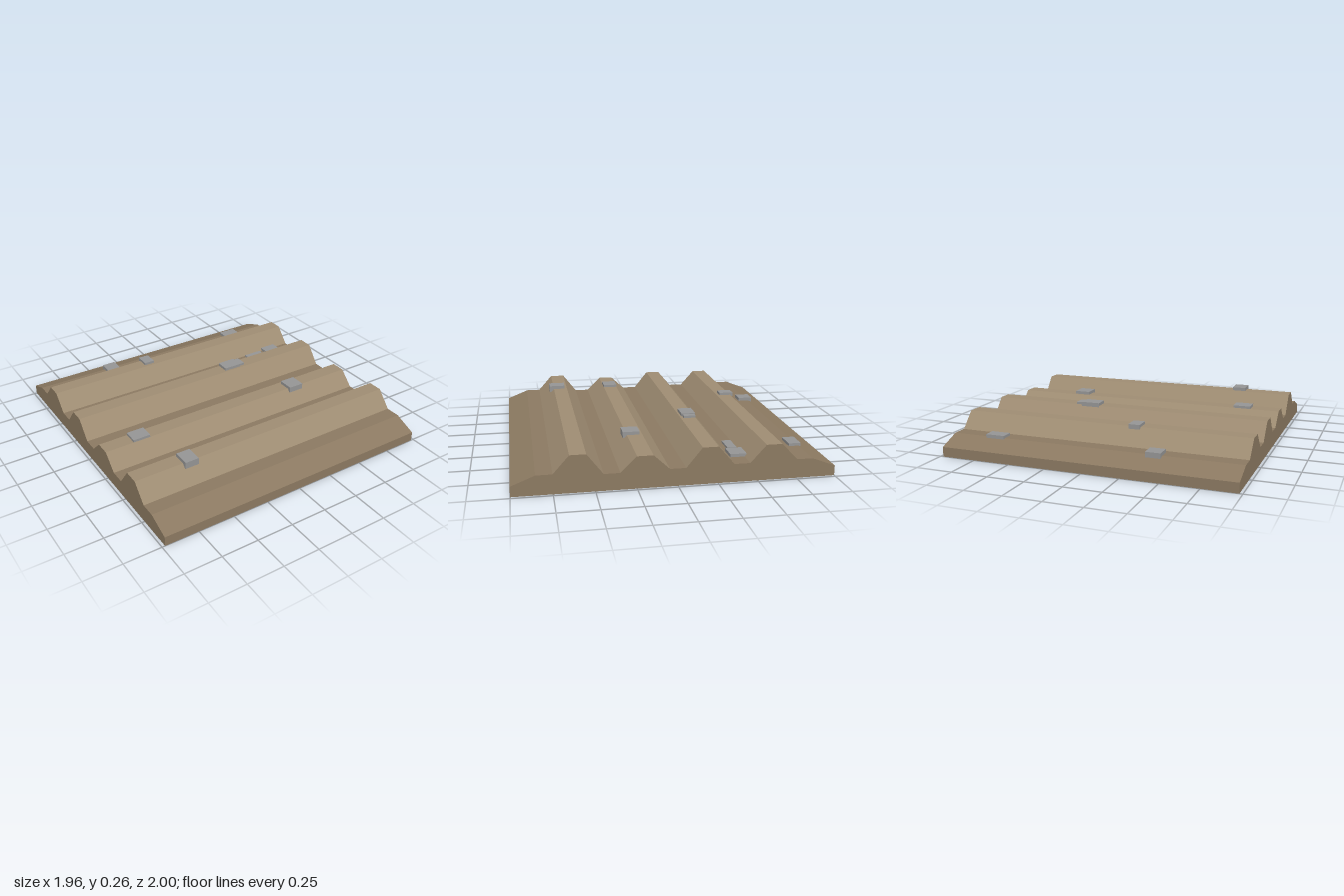
import * as THREE from 'three';

const HALF = 0.98; // half width in x
const EARTH = 0x8b7961, RIDGE = 0x9e8c72, STONE = 0x949494;

const paint = (color) =>
  new THREE.MeshStandardMaterial({ color, flatShading: true, side: THREE.DoubleSide });

// Sweeps an open [z, y] line (running from front to back) straight across x
function strip(name, line, color) {
  const pos = [];
  for (let i = 0; i < line.length - 1; i++) {
    const [z0, y0] = line[i], [z1, y1] = line[i + 1];
    const a = [-HALF, y0, z0], b = [HALF, y0, z0], c = [HALF, y1, z1], d = [-HALF, y1, z1];
    pos.push(...a, ...b, ...c, ...a, ...c, ...d);
  }
  const geo = new THREE.BufferGeometry();
  geo.setAttribute('position', new THREE.Float32BufferAttribute(pos, 3));
  geo.computeVertexNormals();
  const mesh = new THREE.Mesh(geo, paint(color));
  mesh.name = name;
  return mesh;
}

export function createModel() {
  const group = new THREE.Group();

  // Flats alternate furrow, ridge, furrow... each 0.1 wide, front to back
  const heights = [0.125, 0.237, 0.107, 0.205, 0.112, 0.235, 0.117, 0.228, 0.122];
  const flats = heights.map((y, i) => [[0.85 - i * 0.2, y], [0.75 - i * 0.2, y]]);
  const front = [[1, 0], [1, 0.065]], back = [[-1, 0.065], [-1, 0]];
  const last = flats.length - 1;

  flats.forEach((flat, i) => {
    if (i % 2) {
      // Ridge: top and both slopes
      group.add(strip('ridge', [flats[i - 1][1], ...flat, flats[i + 1][0]], RIDGE));
    } else {
      // Furrow floor; the outer ones continue down the field edge
      const line = [...(i === 0 ? front : []), ...flat, ...(i === last ? back : [])];
      group.add(strip('furrow', line, EARTH));
    }
  });
  group.add(strip('underside', [[-1, 0], [1, 0]], EARTH));

  // Cut earth at both ends
  const outline = [...front, ...flats.flat(), ...back];
  for (const s of [1, -1]) {
    const shape = new THREE.Shape(outline.map(([z, y]) => new THREE.Vector2(-s * z, y)));
    const end = new THREE.Mesh(new THREE.ShapeGeometry(shape), paint(EARTH));
    end.rotation.y = s * Math.PI / 2;
    end.position.x = s * HALF;
    end.name = s > 0 ? 'leftEnd' : 'rightEnd';
    group.add(end);
  }

  // Flat stones: x, z, width, depth, top height, thickness
  const stones = [
    [-0.42, -0.83, 0.10, 0.10, 0.145, 0.04],
    [0.67, -0.825, 0.13, 0.08, 0.14, 0.035],
    [-0.22, -0.62, 0.075, 0.10, 0.246, 0.03],
    [0.64, -0.41, 0.14, 0.06, 0.13, 0.03],
    [0.80, -0.41, 0.12, 0.105, 0.137, 0.03],
    [0.265, -0.21, 0.13, 0.095, 0.255, 0.04],
    [0.31, -0.21, 0.12, 0.08, 0.25, 0.035],
    [-0.72, 0.20, 0.12, 0.10, 0.222, 0.04],
    [0.52, 0.222, 0.11, 0.11, 0.226, 0.04],
    [-0.60, 0.625, 0.095, 0.115, 0.26, 0.045],
  ];
  for (const [x, z, w, d, top, t] of stones) {
    const stone = new THREE.Mesh(new THREE.BoxGeometry(w, t, d), paint(STONE));
    stone.position.set(x, top - t / 2, z);
    stone.name = 'stone';
    group.add(stone);
  }
  return group;
}
